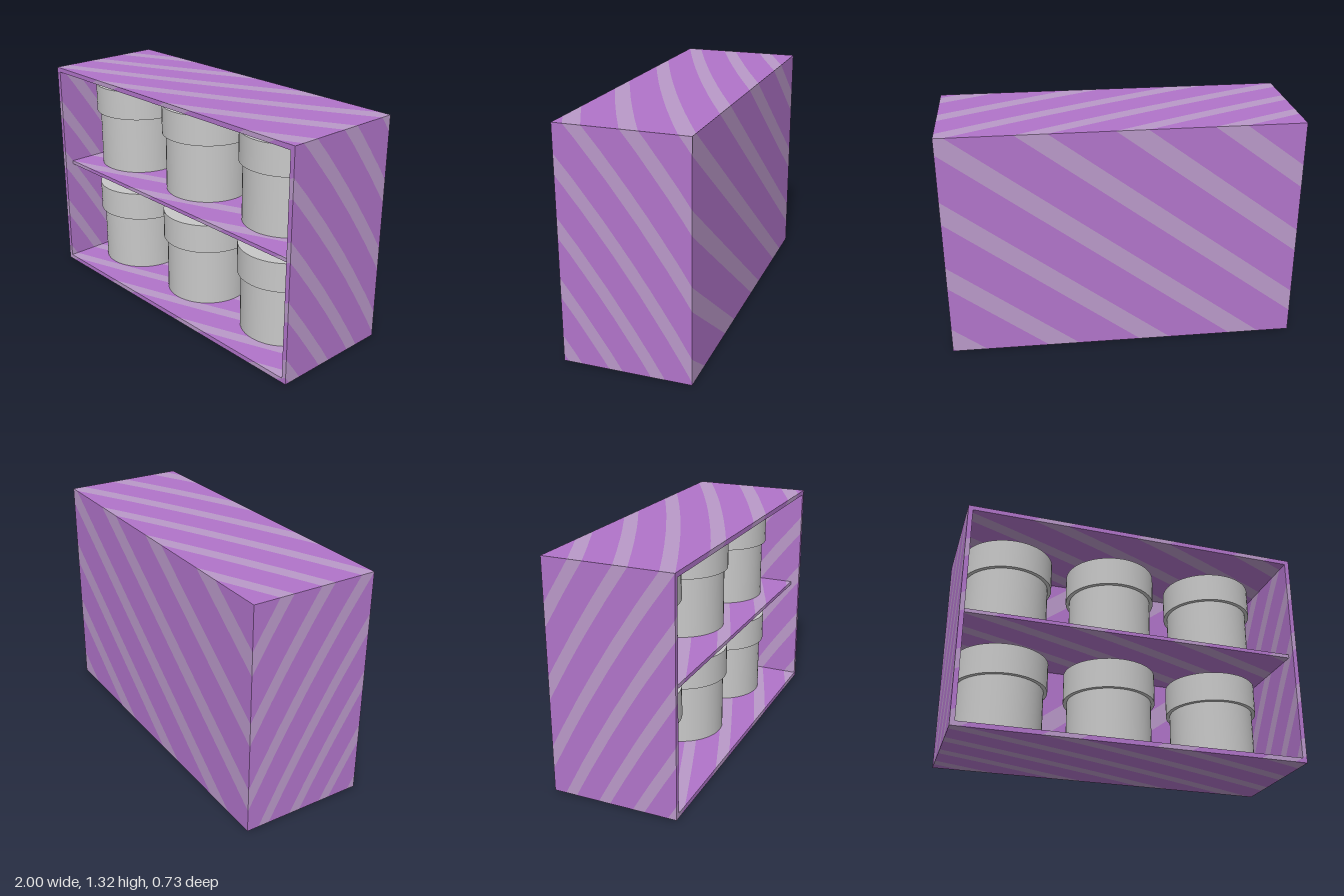
import * as THREE from 'three';

const W = 2, H = 1.32, D = 0.725, T = 0.027;

const purple = new THREE.MeshStandardMaterial({ color: 0xb174ca });
purple.name = 'purple';
const paleStripe = new THREE.MeshStandardMaterial({ color: 0xba99c9 });
paleStripe.name = 'paleStripe';
const grey = new THREE.MeshStandardMaterial({ color: 0xc8c8c8 });
grey.name = 'grey';

// Solid diagonal grain: stripes are centred on its whole numbers
const STRIPE = 0.33;
const grain = (p) =>
  2.42 + 1.73 * p.x + 3.7 * p.z - 0.35 * p.x * p.z + (H - p.y) * (2.725 + 0.68 * p.z);

// Keeps the side of a polygon where sign * (grain - level) is positive
function clip(poly, level, sign) {
  const out = [];
  poly.forEach((a, i) => {
    const b = poly[(i + 1) % poly.length];
    const da = sign * (a.f - level), db = sign * (b.f - level);
    if (da >= 0) out.push(a);
    if (da * db < 0) {
      const t = da / (da - db);
      out.push({ p: a.p.clone().lerp(b.p, t), f: level });
    }
  });
  return out;
}

// Cuts a geometry along the grain into plain and striped faces
function stripe(source) {
  const pos = source.toNonIndexed().attributes.position;
  const faces = [[], []];
  const add = (poly, list) => {
    for (let i = 1; i + 1 < poly.length; i++) {
      for (const v of [poly[0], poly[i], poly[i + 1]]) list.push(v.p.x, v.p.y, v.p.z);
    }
  };
  for (let i = 0; i < pos.count; i += 3) {
    const tri = [0, 1, 2].map((k) => {
      const p = new THREE.Vector3().fromBufferAttribute(pos, i + k);
      return { p, f: grain(p) };
    });
    const fs = tri.map((v) => v.f);
    const last = Math.ceil(Math.max(...fs)) + 1;
    for (let n = Math.floor(Math.min(...fs)) - 1; n <= last; n++) {
      const lo = n - STRIPE / 2, hi = n + STRIPE / 2;
      add(clip(clip(tri, lo, 1), hi, -1), faces[1]);
      add(clip(clip(tri, hi, 1), lo + 1, -1), faces[0]);
    }
  }
  const geo = new THREE.BufferGeometry();
  geo.setAttribute('position', new THREE.Float32BufferAttribute([...faces[0], ...faces[1]], 3));
  geo.computeVertexNormals();
  geo.addGroup(0, faces[0].length / 3, 0);
  geo.addGroup(faces[0].length / 3, faces[1].length / 3, 1);
  return geo;
}

function panel(name, w, h, d, x, y, z) {
  const seg = (s) => Math.max(1, Math.round(s / 0.2));
  const box = new THREE.BoxGeometry(w, h, d, seg(w), seg(h), seg(d)).translate(x, y, z);
  const mesh = new THREE.Mesh(stripe(box), [purple, paleStripe]);
  mesh.name = name;
  return mesh;
}

function makeJar() {
  const jar = new THREE.Group();
  const part = (name, r, y0, y1) => {
    const mesh = new THREE.Mesh(new THREE.CylinderGeometry(r, r, y1 - y0, 48), grey);
    mesh.position.y = (y0 + y1) / 2;
    mesh.name = name;
    jar.add(mesh);
  };
  part('jarBody', 0.248, 0, 0.35);
  part('jarLid', 0.27, 0.35, 0.525);
  return jar;
}

export function createModel() {
  const model = new THREE.Group();
  model.name = 'shelfWithJars';

  // Open-fronted case
  const inner = W - 2 * T;
  model.add(panel('floorPanel', inner, T, D, 0, T / 2, 0));
  model.add(panel('topPanel', inner, T, D, 0, H - T / 2, 0));
  for (const s of [-1, 1]) {
    model.add(panel(s > 0 ? 'leftPanel' : 'rightPanel', T, H, D, s * (W - T) / 2, H / 2, 0));
  }
  model.add(panel('backPanel', inner, H - 2 * T, T, 0, H / 2, (T - D) / 2));

  // Middle shelf, set back from the front edge
  const shelfFront = 0.31, shelfBack = T - D / 2;
  model.add(panel('middleShelf', inner, 0.022, shelfFront - shelfBack,
    0, 0.682, (shelfFront + shelfBack) / 2));

  // Two rows of three jars
  for (const y of [0.03, 0.695]) {
    for (let i = 0; i < 3; i++) {
      const jar = makeJar();
      jar.name = 'jar';
      jar.position.set(-0.695 + i * 0.647, y, -0.04);
      model.add(jar);
    }
  }
  return model;
}
